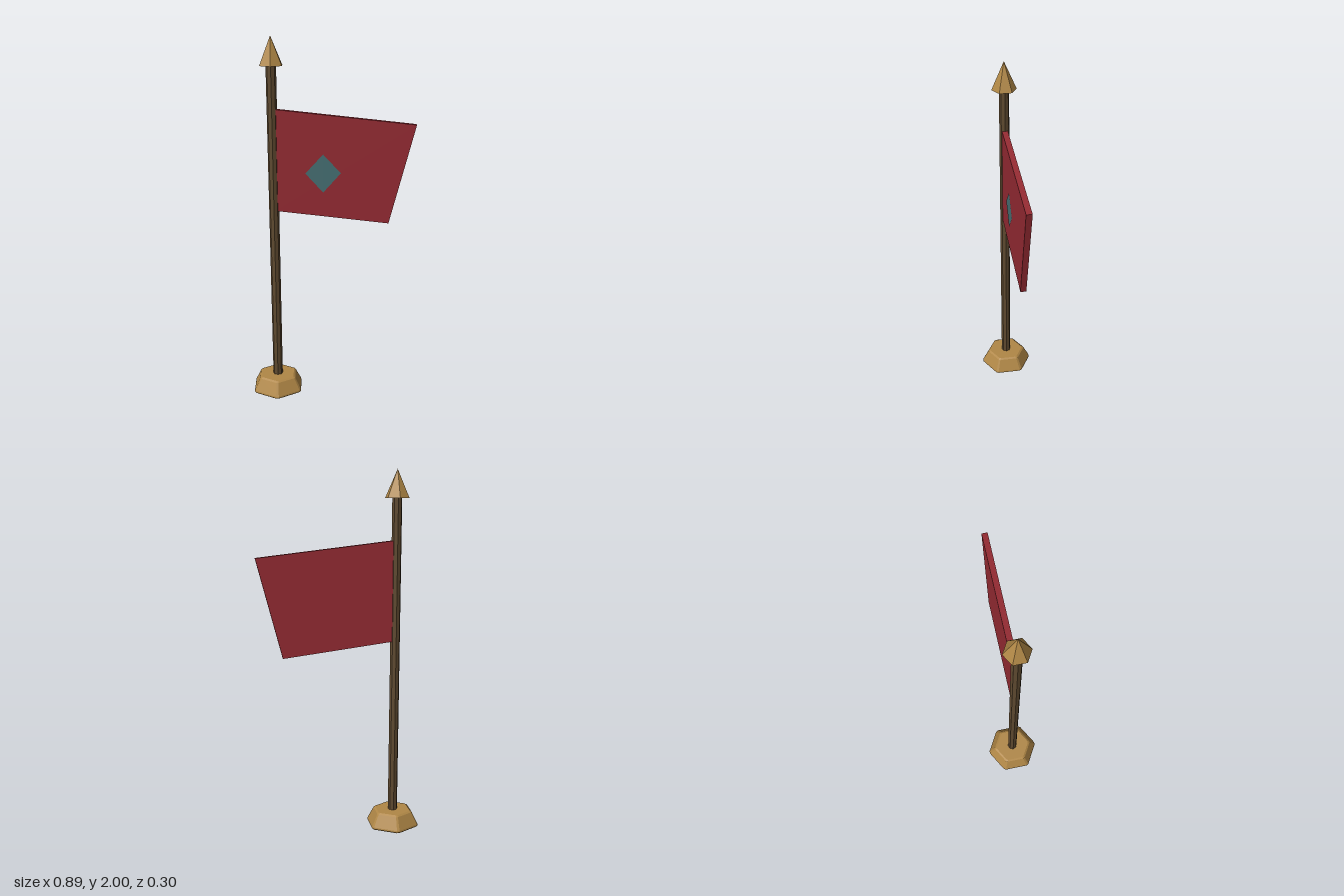
import * as THREE from 'three';

const POLE_X = -0.316;

const material = (color, extra = {}) =>
  new THREE.MeshStandardMaterial({ color, flatShading: true, ...extra });

function polygon(points) {
  return new THREE.Shape(points.map(([x, y]) => new THREE.Vector2(x, y)));
}

// Hexagonal turned block whose upright corners are slightly cut off
function hexBlock(profile, cut) {
  const geometry = new THREE.LatheGeometry(
    profile.map(([r, y]) => new THREE.Vector2(r, y)), 12);
  const pos = geometry.attributes.position;
  const rows = profile.length;
  for (let i = 0; i < pos.count; i++) {
    const column = Math.floor(i / rows) % 12;
    const angle = Math.floor(column / 2) * Math.PI / 3 + (column % 2 ? cut : -cut);
    const r = profile[i % rows][0];
    pos.setXYZ(i, r * Math.sin(angle), pos.getY(i), r * Math.cos(angle));
  }
  geometry.computeVertexNormals();
  return geometry;
}

export function createModel() {
  const group = new THREE.Group();
  const brass = material(0xb08746);
  const wood = material(0x5f4a30);
  const cloth = material(0x962b33);
  const teal = material(0x467073, { side: THREE.DoubleSide });

  const add = (name, geometry, mat, x, y, z = 0) => {
    const mesh = new THREE.Mesh(geometry, mat);
    mesh.name = name;
    mesh.position.set(x, y, z);
    group.add(mesh);
  };

  // Foot with softened rims
  add('base', hexBlock([
    [0, 0], [0.143, 0], [0.15, 0.006], [0.148, 0.015],
    [0.113, 0.083], [0.102, 0.09], [0, 0.09],
  ], 0.05), brass, POLE_X, 0);

  // Pole and spear tip
  add('pole', new THREE.CylinderGeometry(0.027, 0.027, 1.85, 8), wood, POLE_X, 0.93);
  add('finial', new THREE.ConeGeometry(0.067, 0.15, 6), brass, POLE_X, 1.925);

  // Slanted flag, its inner edge buried in the pole
  const flag = new THREE.ExtrudeGeometry(polygon([
    [-0.31, 1.077], [0.306, 1.0], [0.445, 1.541], [-0.31, 1.627],
  ]), { depth: 0.031, bevelEnabled: false });
  add('flag', flag, cloth, 0, 0, -0.0155);

  // Diamond patch on the front of the flag
  const diamond = new THREE.ShapeGeometry(polygon([
    [-0.05, 1.178], [0.045, 1.284], [-0.05, 1.387], [-0.145, 1.284],
  ]));
  add('diamondPatch', diamond, teal, 0, 0, 0.0175);

  return group;
}
